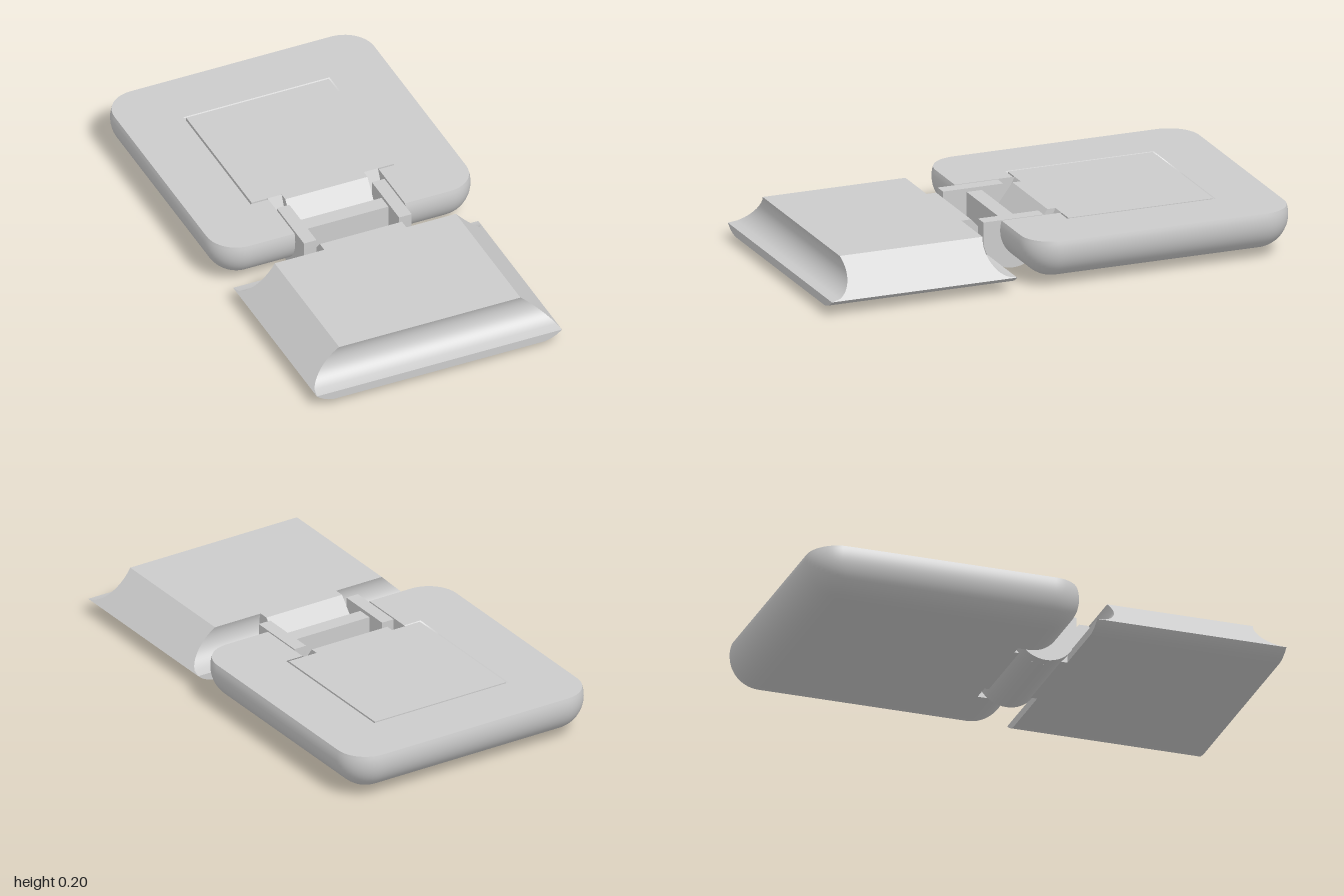
import * as THREE from 'three';
import { toCreasedNormals } from 'three/addons/utils/BufferGeometryUtils.js';

const TOP = 0.205, BOTTOM = 0.03, ROUND = 0.135, MID = 0.165;
const material = new THREE.MeshStandardMaterial({ color: 0xcccccc, side: THREE.DoubleSide });

function add(parent, name, geometry) {
  const mesh = new THREE.Mesh(geometry, material);
  mesh.name = name;
  parent.add(mesh);
  return mesh;
}

// Walls through rings of [x, z], listed counterclockwise from above, low to high
function loft(rings, heights) {
  const n = rings[0].length, pos = [], idx = [];
  rings.forEach((ring, r) => ring.forEach(([x, z]) => pos.push(x, heights[r], z)));
  for (let r = 0; r < rings.length - 1; r++) {
    for (let i = 0; i < n; i++) {
      const a = r * n + i, b = r * n + (i + 1) % n;
      idx.push(a, b, b + n, a, b + n, a + n);
    }
  }
  const geo = new THREE.BufferGeometry();
  geo.setAttribute('position', new THREE.Float32BufferAttribute(pos, 3));
  geo.setIndex(idx);
  return toCreasedNormals(geo, 0.5);
}

// Flat face from [x, z] points, facing up (dir 1) or down (dir -1)
function cap(points, y, dir) {
  const shape = new THREE.Shape(points.map(([x, z]) => new THREE.Vector2(x, -dir * z)));
  return new THREE.ShapeGeometry(shape).rotateX(-dir * Math.PI / 2).translate(0, y, 0);
}

// Side profile of [z, y] points, extruded along x around a centre
function sideExtrude(points, width, x = 0) {
  const shape = new THREE.Shape(points.map(([z, y]) => new THREE.Vector2(z, y)));
  const geo = new THREE.ExtrudeGeometry(shape, { depth: width, bevelEnabled: false });
  return toCreasedNormals(geo.rotateY(-Math.PI / 2).translate(x + width / 2, 0, 0), 0.5);
}

// Points along a circular arc in a [z, y] profile
function arc(cz, cy, r, from, to, steps = 24) {
  return Array.from({ length: steps + 1 }, (_, i) => {
    const a = from + (to - from) * i / steps;
    return [cz + r * Math.cos(a), cy + r * Math.sin(a)];
  });
}

// Rounded square outline with the hinge notch in its front edge
function baseRing(inset, notchBack) {
  const half = 0.575 - inset, r = ROUND - inset, c = 0.575 - ROUND, cz = -0.425, n = 0.242;
  const ring = [[n, notchBack], [n, cz + half]];
  [[1, -1], [1, 1], [-1, 1], [-1, -1]].forEach(([sx, sv], k) => {
    for (let i = 0; i <= 10; i++) {
      const a = (k - 1 + i / 10) * Math.PI / 2;
      ring.push([sx * c + r * Math.cos(a), cz - (sv * c + r * Math.sin(a))]);
    }
  });
  ring.push([-n, cz + half], [-n, notchBack]);
  return ring;
}

function buildBase() {
  const base = new THREE.Group();
  base.name = 'base';
  const rings = [], heights = [], steps = 20;
  const low = -Math.PI / 2, high = Math.asin((TOP - MID) / ROUND);
  for (let i = 0; i <= steps; i++) {
    const a = low + (high - low) * i / steps;
    const y = MID + ROUND * Math.sin(a);
    heights.push(y);
    rings.push(baseRing(ROUND * (1 - Math.cos(a)), -0.03 - 0.085 * (y - BOTTOM) / (TOP - BOTTOM)));
  }
  add(base, 'baseShell', loft(rings, heights));
  add(base, 'baseBottom', cap(rings[0], BOTTOM, -1));

  // Top rim, open around the square panel
  const o = 0.32, back = -0.748, front = -0.107;
  const rim = rings[steps].slice(1, -1);
  add(base, 'topRim', cap([...rim, [-0.242, front], [-o, front], [-o, back],
    [o, back], [o, front], [0.242, front]], TOP, 1));

  // Panel set inside a narrow groove
  const panel = new THREE.BoxGeometry(0.624, 0.03, 0.625);
  add(base, 'panel', panel).position.set(0, TOP - 0.015, -0.4275);
  const floor = new THREE.BoxGeometry(0.65, 0.01, 0.65);
  add(base, 'grooveFloor', floor).position.set(0, 0.18, -0.44);

  // Sloping tab that leads from the panel down into the hinge pocket
  add(base, 'panelTab', sideExtrude(
    [[-0.13, TOP], [-0.08, TOP], [0.045, 0.04], [-0.05, 0.04], [-0.13, 0.15]], 0.36));
  return base;
}

function buildFrontPlate() {
  const plate = new THREE.Group();
  plate.name = 'frontPlate';
  const edge = 0.065, heights = [];
  for (let i = 0; i < 6; i++) heights.push(BOTTOM + (edge - BOTTOM) * i / 6);
  for (let i = 0; i <= 20; i++) heights.push(edge + (TOP - edge) * i / 20);

  // Sides slope at 45 degrees; both ends are hollowed by a quarter round
  const rings = heights.map(y => {
    const arcX = h => 0.445 + Math.sqrt(0.136 ** 2 - (h - MID) ** 2);
    const x = y < edge ? arcX(y) : arcX(edge) - (y - edge);
    const hollow = y < edge ? 0 : Math.sqrt(Math.max(0, 0.01 - (y - MID) ** 2));
    const z0 = 0.2 + hollow, z1 = 1 - hollow;
    return [[x, z1], [x, z0], [-x, z0], [-x, z1]];
  });
  add(plate, 'plateShell', loft(rings, heights));
  add(plate, 'plateTop', cap(rings[rings.length - 1], TOP, 1));
  add(plate, 'plateBottom', cap(rings[0], BOTTOM, -1));

  // Sloping tongue reaching into the hinge
  add(plate, 'tongue', sideExtrude(
    [[0.3, TOP], [0.25, TOP], [0.12, 0.06], [0.14, BOTTOM], [0.3, BOTTOM]], 0.36));
  return plate;
}

function buildHinge() {
  const hinge = new THREE.Group();
  hinge.name = 'hinge';
  const cz = 0.09, cy = 0.13, r = 0.13;
  // Side arms, round below and flat on top
  const arm = [[cz + r, TOP], [cz - r, TOP], ...arc(cz, cy, r, Math.PI, 2 * Math.PI)];
  for (const side of [-1, 1]) add(hinge, 'hingeArm', sideExtrude(arm, 0.055, side * 0.2085));
  // Curved underside joining the arms
  const a = Math.asin(0.08 / r);
  add(hinge, 'hingeBarrel', sideExtrude(arc(cz, cy, r, Math.PI + a, 2 * Math.PI - a), 0.38));
  // Upright crossbar between the arms
  const bar = new THREE.BoxGeometry(0.38, 0.16, 0.065);
  add(hinge, 'crossbar', bar).position.set(0, 0.11, 0.085);
  return hinge;
}

export function createModel() {
  const model = new THREE.Group();
  model.name = 'hingedCase';
  model.add(buildBase(), buildFrontPlate(), buildHinge());
  return model;
}
